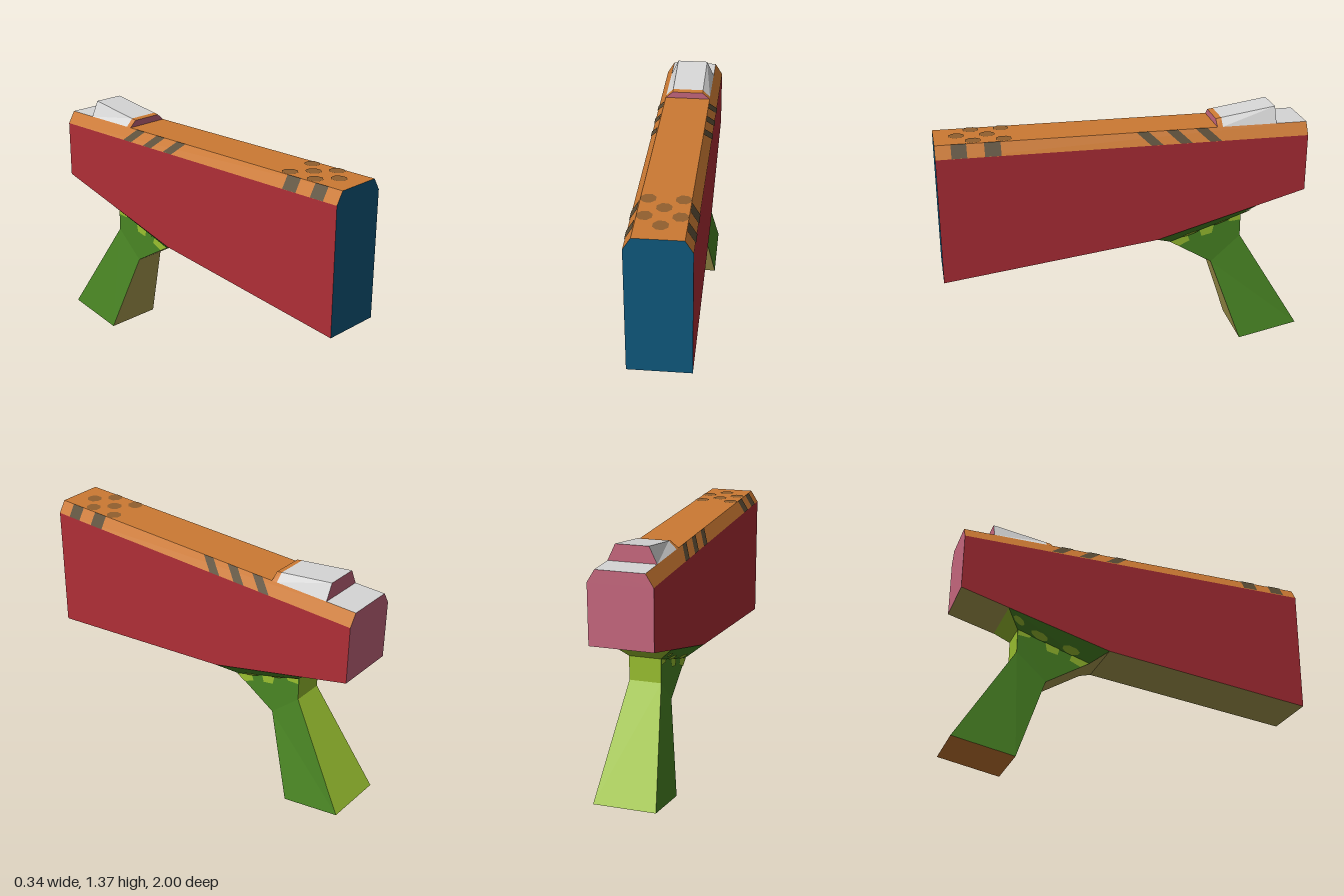
import * as THREE from 'three';

const material = (name, color) => {
  const m = new THREE.MeshStandardMaterial({ color });
  m.name = name;
  return m;
};

// Flat-faced mesh from convex polygons; each is wound to face the "out" direction.
function panel(name, mat, out, ...polys) {
  const pos = [];
  const dir = new THREE.Vector3(...out);
  for (const poly of polys) {
    const p = poly.map((a) => new THREE.Vector3(...a));
    const n = new THREE.Vector3();
    for (let i = 1; i < p.length - 1; i++) {
      n.add(p[i].clone().sub(p[0]).cross(p[i + 1].clone().sub(p[0])));
    }
    if (n.dot(dir) < 0) p.reverse();
    for (let i = 1; i < p.length - 1; i++) {
      for (const v of [p[0], p[i], p[i + 1]]) pos.push(v.x, v.y, v.z);
    }
  }
  const g = new THREE.BufferGeometry();
  g.setAttribute('position', new THREE.Float32BufferAttribute(pos, 3));
  g.computeVertexNormals();
  const mesh = new THREE.Mesh(g, mat);
  mesh.name = name;
  return mesh;
}

// Strip spanning both sides through [halfWidth, y, z] points.
const strip = (pts) => pts.slice(1).map((b, i) => {
  const a = pts[i];
  return [[-a[0], a[1], a[2]], [a[0], a[1], a[2]], [b[0], b[1], b[2]], [-b[0], b[1], b[2]]];
});

const octagon = (cx, cy, rx, ry) => Array.from({ length: 8 }, (_, i) => {
  const a = (i + 0.5) * Math.PI / 4;
  return [cx + rx * 1.08 * Math.cos(a), cy + ry * 1.08 * Math.sin(a)];
});

export function createModel() {
  const red = material('red', 0xb02e37);
  const blue = material('blue', 0x0f5a80);
  const orange = material('orange', 0xcc7a33);
  const pink = material('pink', 0xc8687f);
  const olive = material('olive', 0xafa153);
  const green = material('green', 0x4a8624);
  const lime = material('lime', 0x9ac030);
  const gray = material('light gray', 0xd6d6d6);
  const dark = material('dark brown', 0x5a4c35);
  const brown = material('brown', 0x92602f);

  const model = new THREE.Group();
  model.name = 'toyBlaster';
  const group = (name) => {
    const g = new THREE.Group();
    g.name = name;
    model.add(g);
    return g;
  };
  const W = 0.165, T = 0.125, N = 0.085;      // half widths: body, body top, neck
  const SH = 1.22, TOP = 1.285;               // shoulder and top heights

  // Adds a +x panel and its mirror image.
  const pair = (parent, name, mat, out, ...polys) => {
    for (const s of [1, -1]) {
      const flip = ([x, y, z]) => [s * x, y, z];
      parent.add(panel(name + (s > 0 ? 'Left' : 'Right'), mat, flip(out), ...polys.map((p) => p.map(flip))));
    }
  };

  // Body
  const body = group('body');
  const end = (z, bottom) => [[-W, bottom, z], [W, bottom, z], [W, SH, z], [T, TOP, z], [-T, TOP, z], [-W, SH, z]];
  body.add(panel('frontFace', blue, [0, 0, 1], end(1, 0.52)));
  body.add(panel('backFace', pink, [0, 0, -1], end(-1, 0.905)));
  body.add(panel('underside', olive, [0, -1, 0], ...strip([[W, 0.52, 1], [W, 0.67, -0.17], [W, 0.905, -1]])));
  body.add(panel('topFace', orange, [0, 1, 0], ...strip([[T, TOP, 1], [T, TOP, -0.83]])));
  body.add(panel('rearTopFace', gray, [0, 1, 0], ...strip([[T, TOP, -0.83], [T, TOP, -1]])));
  pair(body, 'side', red, [1, 0, 0],
    [[W, SH, 1], [W, 0.52, 1], [W, 0.67, -0.17], [W, SH, -0.17]],
    [[W, SH, -0.17], [W, 0.67, -0.17], [W, 0.905, -1], [W, SH, -1]]);
  pair(body, 'bevel', orange, [1, 1, 0], [[W, SH, 1], [W, SH, -1], [T, TOP, -1], [T, TOP, 1]]);

  // Stripes on the bevels: [start z at top, width, shift towards the bottom]
  const lift = 0.003;
  const stripes = [[0.917, 0.08, 0], [0.746, 0.085, 0], [-0.056, 0.065, -0.073], [-0.216, 0.065, -0.073], [-0.377, 0.065, -0.073]]
    .map(([z, w, d]) => [
      [T + lift, TOP + lift * 0.6, z], [T + lift, TOP + lift * 0.6, z - w],
      [W + lift, SH + lift * 0.6, z + d - w], [W + lift, SH + lift * 0.6, z + d]]);
  pair(body, 'bevelStripes', dark, [1, 1, 0], ...stripes);

  // Spots on the top
  const spots = [[-0.086, 0.64], [0.086, 0.64], [0, 0.72], [-0.086, 0.8], [0.086, 0.8], [0, 0.88]]
    .map(([x, z]) => octagon(x, z, 0.038, 0.04).map(([a, b]) => [a, TOP + lift, b]));
  body.add(panel('topSpots', brown, [0, 1, 0], ...spots));

  // Rear sight wedge
  const sight = group('sight');
  const [s0, s1, s2] = [[-0.5, 1.32], [-0.53, 1.325], [-0.83, 1.37]];
  const sightEnd = ([z, y]) => [[-T, TOP, z], [T, TOP, z], [N, y, z], [-N, y, z]];
  sight.add(panel('sightFront', pink, [0, 0, 1], sightEnd(s0)));
  sight.add(panel('sightBack', pink, [0, 0, -1], sightEnd(s2)));
  for (const [name, mat, a, b] of [['sightLip', orange, s0, s1], ['sightWedge', gray, s1, s2]]) {
    sight.add(panel(name + 'Top', mat, [0, 1, 0], ...strip([[N, a[1], a[0]], [N, b[1], b[0]]])));
    pair(sight, name + 'Side', mat, [1, 0.5, 0],
      [[T, TOP, a[0]], [T, TOP, b[0]], [N, b[1], b[0]], [N, a[1], a[0]]]);
  }

  // Grip: flared collar, narrow neck and widening handle
  const grip = group('grip');
  const collarF = [W, 0.67, -0.17], collarB = [W, 0.833, -0.74];
  const ridgeF = [N, 0.615, -0.26], ridgeB = [N, 0.75, -0.665];
  const neckF = [N, 0.47, -0.5], neckB = [N, 0.62, -0.665];
  const footF = [W, 0.002, -0.665], footB = [W, 0.07, -1];
  grip.add(panel('gripFront', olive, [0, -0.4, 1], ...strip([collarF, ridgeF, neckF, footF])));
  grip.add(panel('gripBack', lime, [0, 0, -1], ...strip([collarB, ridgeB, neckB, footB])));
  grip.add(panel('gripBase', orange, [0, -1, 0], ...strip([footF, footB])));
  pair(grip, 'gripSide', green, [1, 0, 0],
    [collarF, ridgeF, ridgeB, collarB],
    [ridgeF, neckF, neckB, ridgeB],
    [neckF, footF, footB, neckB]);

  // Lime spots on the neck and on the collar above it
  pair(grip, 'neckSpots', lime, [1, 0, 0], ...[
    [[-0.26, 0.615], [-0.36, 0.648], [-0.372, 0.615], [-0.31, 0.586]],
    [[-0.43, 0.672], [-0.51, 0.698], [-0.5, 0.65], [-0.44, 0.636]],
    [[-0.59, 0.725], [-0.662, 0.749], [-0.662, 0.718], [-0.6, 0.712]],
  ].map((p) => p.map(([z, y]) => [N + 0.004, y, z])));
  const onCollar = ([u, v]) => {
    const mix = (a, b, t) => a.map((c, i) => c + (b[i] - c) * t);
    const [x, y, z] = mix(mix(ridgeF, ridgeB, u), mix(collarF, collarB, u), v);
    return [x + 0.005, y - 0.005, z];
  };
  pair(grip, 'collarSpots', lime, [1, -1, 0],
    ...[[0.3, 0.24], [0.7, 0.24], [0.93, 0.55]].map(([u, v], i) =>
      octagon(u, v, i < 2 ? 0.1 : 0.055, 0.2).map(onCollar)));

  return model;
}
